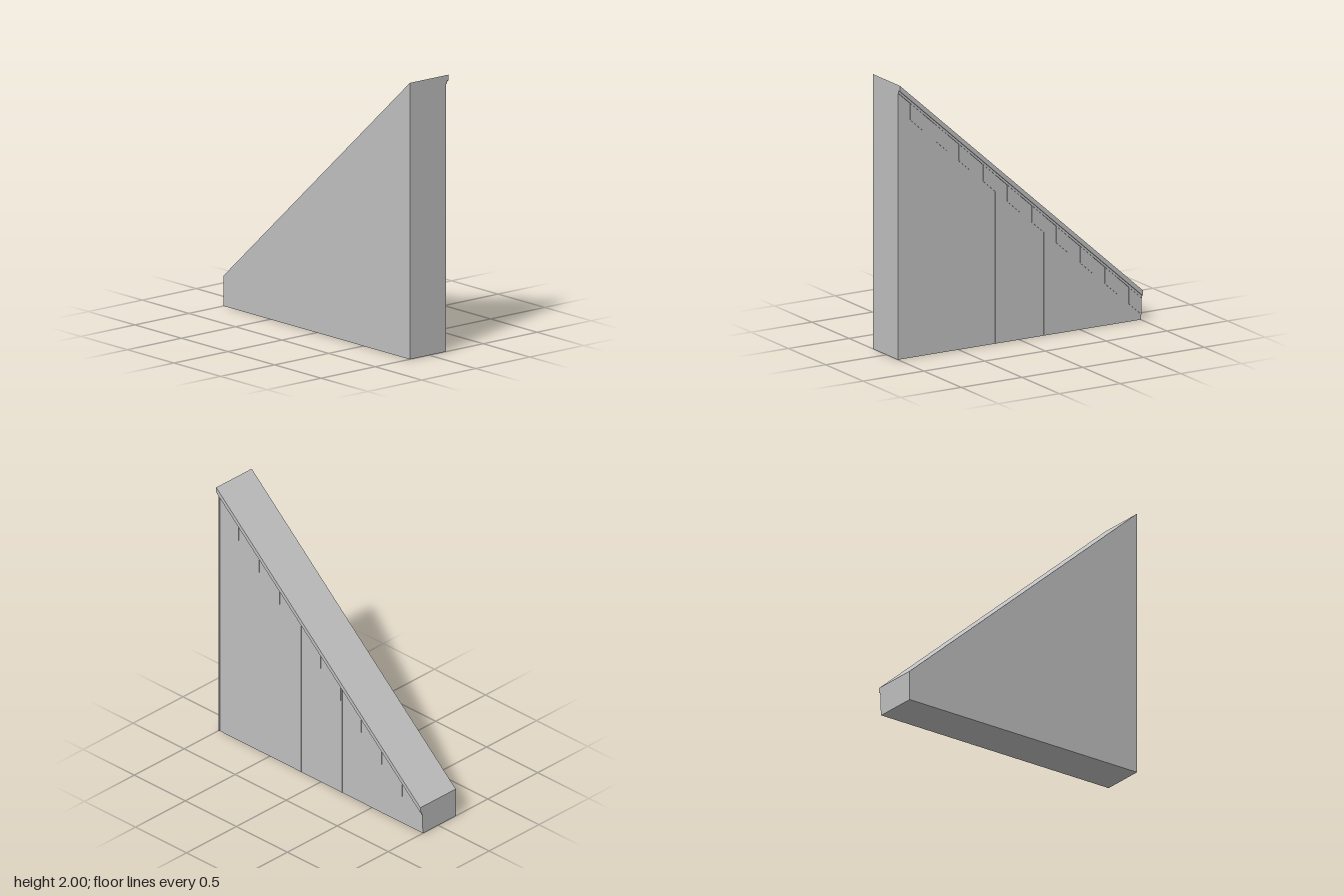
import * as THREE from 'three';

// Height of the sloping top edge at x
const slopeY = (x) => 0.22 + (x + 1) * 0.89;

export function createModel() {
  const group = new THREE.Group();
  const stone = new THREE.MeshStandardMaterial({ color: 0xbfbfbf });

  // Slab between x0 and x1 with a top parallel to the slope;
  // depth null means it reaches down to the ground
  function slab(name, x0, x1, drop, depth, zBack, zFront) {
    const low = (x) => (depth === null ? 0 : slopeY(x) - drop - depth);
    const shape = new THREE.Shape([
      new THREE.Vector2(x0, low(x0)),
      new THREE.Vector2(x1, low(x1)),
      new THREE.Vector2(x1, slopeY(x1) - drop),
      new THREE.Vector2(x0, slopeY(x0) - drop),
    ]);
    const geometry = new THREE.ExtrudeGeometry(shape, { depth: zFront - zBack, bevelEnabled: false });
    geometry.translate(0, 0, zBack);
    const mesh = new THREE.Mesh(geometry, stone);
    mesh.name = name;
    group.add(mesh);
  }

  const face = -0.152;
  slab('wall', -1, 1, 0, null, face, 0.178);

  // Cornice along the slope on the back, with a smaller step beneath it
  slab('corniceLedge', -1, 1, 0, 0.04, -0.178, face);
  slab('corniceStep', -1, 1, 0.04, 0.02, -0.164, face);

  // Sloping blocks under the cornice
  for (let i = 0; i < 10; i++) {
    const x = -1 + i * 0.2;
    slab('corniceBlock', x, x + 0.1, 0.06, 0.12, -0.158, face);
  }

  // Narrow upright ribs dividing the back into panels
  for (let i = 1; i <= 5; i++) {
    const x = -1 + i * 0.4;
    slab('panelRib', x - 0.01, x, 0.06, null, -0.155, face);
  }
  return group;
}
